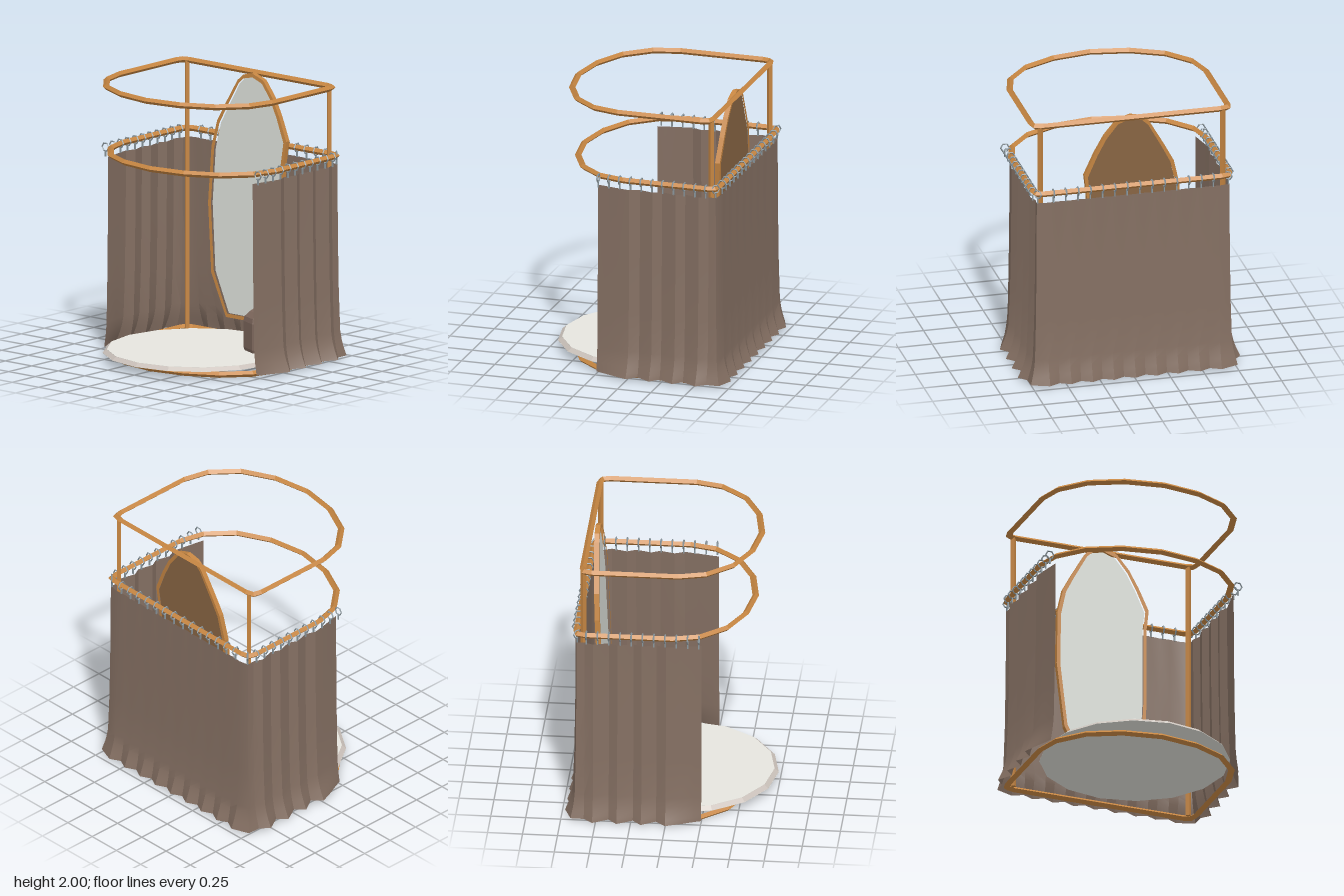
import * as THREE from 'three';
import { toCreasedNormals } from 'three/addons/utils/BufferGeometryUtils.js';

const mat = (name, color, flatShading = true) => {
  const m = new THREE.MeshStandardMaterial({ color, flatShading });
  m.name = name;
  return m;
};

export function createModel() {
  const group = new THREE.Group();
  const wood = mat('honey wood', 0xc68642);
  const backing = mat('mirror backing wood', 0x8a6644);
  const cloth = mat('taupe cloth', 0x846f62, false);
  cloth.side = THREE.DoubleSide;
  const padding = mat('pouf cloth', 0x7d675c);
  const rugTop = mat('pale rug', 0xe6e5de);
  const rugEdge = mat('rug border', 0xcbc2bb);
  const glass = mat('mirror glass', 0xd8dcd6);
  const metal = mat('ring steel', 0x8a969c);

  const add = (name, geometry, material, x = 0, y = 0, z = 0, parent = group) => {
    const mesh = new THREE.Mesh(geometry, material);
    mesh.name = name;
    mesh.position.set(x, y, z);
    parent.add(mesh);
    return mesh;
  };

  // Grid of points (rows of equal length) turned into a surface
  const skin = (rows, close) => {
    const n = rows[0].length, pos = rows.flat(2), idx = [];
    const last = close ? rows.length : rows.length - 1;
    for (let i = 0; i < last; i++) {
      const a = i * n, b = ((i + 1) % rows.length) * n;
      for (let j = 0; j < (close ? n : n - 1); j++) {
        const k = (j + 1) % n;
        idx.push(a + j, b + j, a + k, b + j, b + k, a + k);
      }
    }
    const g = new THREE.BufferGeometry();
    g.setAttribute('position', new THREE.Float32BufferAttribute(pos, 3));
    g.setIndex(idx);
    g.computeVertexNormals();
    return g;
  };

  // D-shaped rails: a diamond section swept around a closed plan
  const half = [[-0.575, 0.28], [-0.46, 0.515], [-0.28, 0.67], [-0.09, 0.72],
    [0.53, 0.72], [0.585, 0.705], [0.6, 0.65]];
  const plan = [[-0.62, 0], ...half, ...half.map(([x, z]) => [x, -z]).reverse()];
  const railRows = plan.map(([x, z], i) => {
    const p = plan[(i + plan.length - 1) % plan.length];
    const q = plan[(i + 1) % plan.length];
    const d1 = new THREE.Vector2(x - p[0], z - p[1]).normalize();
    const d2 = new THREE.Vector2(q[0] - x, q[1] - z).normalize();
    const d = d1.clone().add(d2).normalize();
    const miter = 1 / Math.max(0.6, d.dot(d1));
    return Array.from({ length: 4 }, (_, k) => {
      const a = k * Math.PI / 2, r = 0.023 * Math.cos(a) * miter;
      return [x - d.y * r, 0.022 * Math.sin(a), z + d.x * r];
    });
  });
  const railGeo = skin(railRows, true);
  add('topRail', railGeo, wood, 0, 1.98, 0);
  add('curtainRail', railGeo, wood, 0.045, 1.475, 0);
  add('floorRail', railGeo, wood, 0.04, 0.024, 0);

  // Upright posts
  for (const s of [1, -1]) {
    add(s > 0 ? 'frontPost' : 'backPost',
      new THREE.CylinderGeometry(0.021, 0.021, 1.95, 4), wood, 0.595, 1.0, s * 0.67);
  }

  // Curtain: plan stations of [x, z, outward x, outward z, fold, is side]
  const side = [[-0.25, -0.6], [-0.2, -0.3], [-0.1, 0.4], [0, 1], [0.07, 0], [0.173, 1], [0.235, 0],
    [0.347, 1], [0.41, 0], [0.52, 1], [0.585, 0.1]].map(([x, f]) => [x, 0.7, 0, 1, f, true]);
  const stations = [...side, [0.635, 0.7, 0.6, 0.8, 0.3, true]];
  for (let j = 0; j <= 8; j++) stations.push([0.648, 0.63 - j * 0.0787, 1, 0, j % 2 ? 0 : 1, false]);
  const drape = [...stations, ...stations.slice(0, -1).reverse()
    .map(([x, z, nx, nz, f, s]) => [x, -z, nx, -nz, f, s])];
  // height, flare, pleat depth on the sides, pleat depth at the back
  const levels = [[1.41, 0, 0.03, 0.006], [0.9, 0.003, 0.031, 0.007], [0.5, 0.009, 0.032, 0.009],
    [0.2, 0.018, 0.036, 0.014], [0.14, 0.026, 0.041, 0.02], [0.09, 0.036, 0.048, 0.028],
    [0.05, 0.047, 0.055, 0.035], [0.018, 0.055, 0.062, 0.04]];
  const drapeRows = levels.map(([y, flare, sideDepth, backDepth]) => drape.map(([x, z, nx, nz, f, isSide]) => {
    const o = isSide ? flare + sideDepth * f : flare * 0.75 + backDepth * f;
    return [x + nx * o, y, z + nz * o];
  }));
  add('curtain', toCreasedNormals(skin(drapeRows, false), 0.45), cloth);

  // Curtain rings with short clips
  const rings = new THREE.Group();
  rings.name = 'curtainRings';
  group.add(rings);
  const ringGeo = new THREE.TorusGeometry(0.031, 0.006, 4, 6);
  const clipGeo = new THREE.BoxGeometry(0.01, 0.042, 0.01);
  const ring = (x, z, turn) => {
    add('ring', ringGeo, metal, x, 1.475, z, rings).rotation.y = turn;
    add('clip', clipGeo, metal, x, 1.426, z, rings);
  };
  for (const s of [1, -1]) {
    for (let i = 0; i < 11; i++) ring(-0.235 + i * 0.0805, s * 0.72, Math.PI / 2);
    for (let i = 0; i < 7; i++) ring(0.65, s * (0.047 + i * 0.09), 0);
    ring(0.638, s * 0.7, Math.PI / 4);
  }

  // Rug: sixteen-sided bevelled disc
  add('rugBorder', new THREE.CylinderGeometry(0.65, 0.68, 0.025, 16), rugEdge, -0.06, 0.0725, 0)
    .rotation.y = Math.PI / 2;
  add('rugSurface', new THREE.CylinderGeometry(0.65, 0.65, 0.002, 16), rugTop, -0.06, 0.0855, 0)
    .rotation.y = Math.PI / 2;
  add('rugUnderside', new THREE.CylinderGeometry(0.68, 0.68, 0.002, 16), rugTop, -0.06, 0.0595, 0)
    .rotation.y = Math.PI / 2;

  // Pouf: eight-sided with a slightly sunken top
  const poufProfile = [[0, 0.062], [0.165, 0.062], [0.18, 0.11], [0.181, 0.3], [0.172, 0.335],
    [0.135, 0.37], [0, 0.35]].map(([r, y]) => new THREE.Vector2(r, y));
  add('pouf', new THREE.LatheGeometry(poufProfile, 8), padding, 0.225, 0, 0.42);

  // Leaning mirror: outline as [z, y]
  const outline = [[0.16, 0.2], [0.275, 0.36], [0.305, 0.8], [0.315, 1.38], [0.335, 1.54], [0.26, 1.71],
    [0.19, 1.84], [0.1, 1.95], [0, 1.985], [-0.09, 1.965], [-0.14, 1.92], [-0.25, 1.73], [-0.32, 1.6],
    [-0.365, 1.41], [-0.38, 1.0], [-0.33, 0.5], [-0.18, 0.2]];
  const outer = outline.map(([z, y]) => new THREE.Vector2(-z, y));
  const inner = outer.map((p) => new THREE.Vector2((p.x - 0.02) * 0.925 + 0.02, (p.y - 1.09) * 0.97 + 1.09));
  const slab = (points, hole, depth, offset) => {
    const shape = new THREE.Shape(points);
    if (hole) shape.holes.push(new THREE.Path(hole));
    const g = new THREE.ExtrudeGeometry(shape, { depth, bevelEnabled: false });
    g.rotateY(Math.PI / 2);
    // lean towards the curtain
    const p = g.attributes.position;
    for (let i = 0; i < p.count; i++) p.setX(i, p.getX(i) + 0.45 + offset + 0.047 * (p.getY(i) - 0.2));
    g.computeVertexNormals();
    return g;
  };
  const mirror = new THREE.Group();
  mirror.name = 'mirror';
  group.add(mirror);
  add('mirrorFrame', slab(outer, inner, 0.036, 0), wood, 0, 0, 0, mirror);
  add('mirrorGlass', slab(inner, null, 0.006, 0.018), glass, 0, 0, 0, mirror);
  add('mirrorBack', slab(inner, null, 0.006, 0.027), backing, 0, 0, 0, mirror);

  return group;
}
